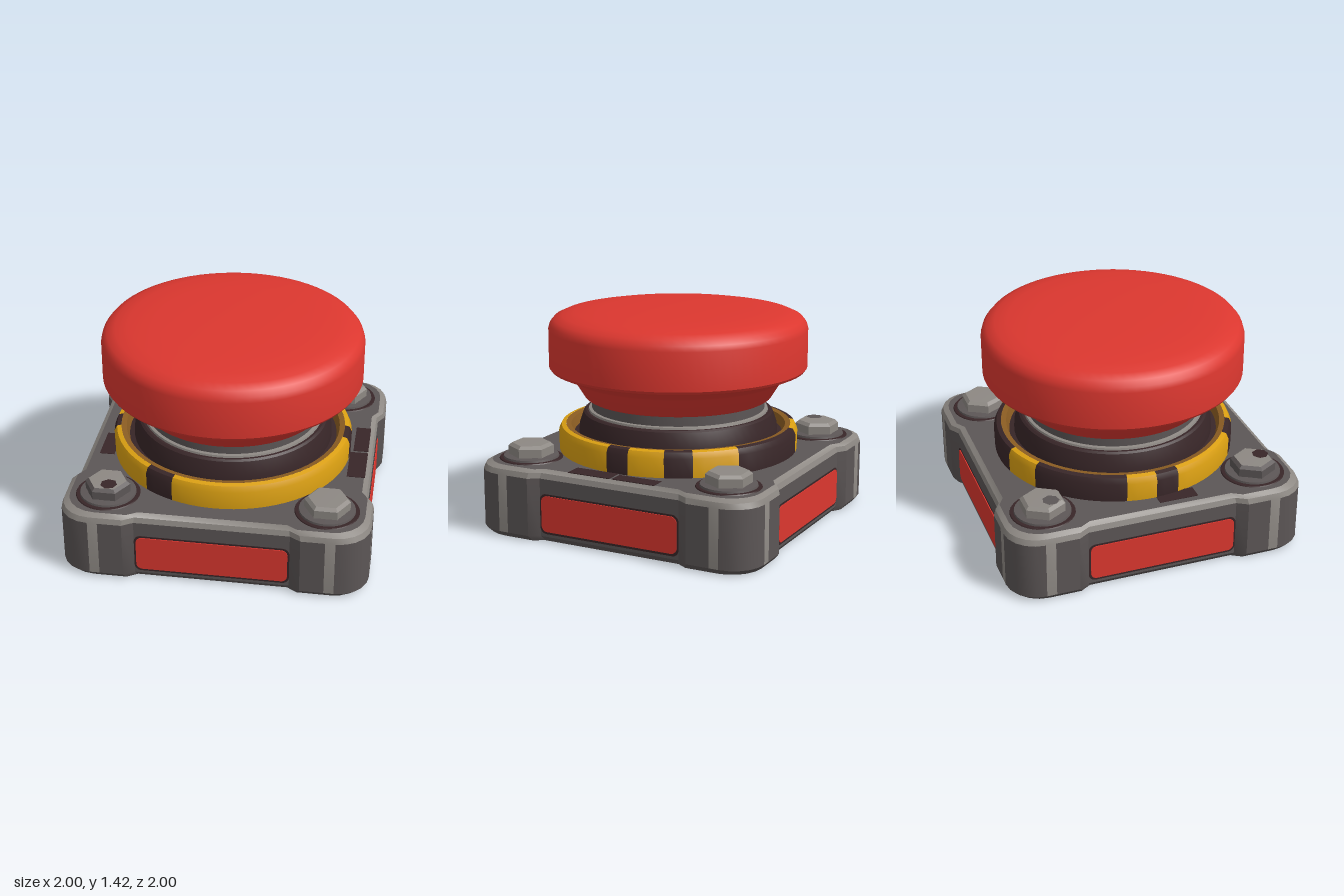
import * as THREE from 'three';
import { toCreasedNormals } from 'three/addons/utils/BufferGeometryUtils.js';

const mat = (name, color) => {
  const m = new THREE.MeshStandardMaterial({ color });
  m.name = name;
  return m;
};
const DEG = Math.PI / 180;

export function createModel() {
  const red = mat('red', 0xdc372f);
  const grey = mat('bodyGrey', 0x5c5656);
  const light = mat('wornGrey', 0x8d8883);
  const dark = mat('darkBrown', 0x382628);
  const yellow = mat('yellow', 0xdba012);
  const brown = mat('rustBrown', 0x8a5c22);

  const model = new THREE.Group();
  model.name = 'pushButton';

  const add = (name, geo, material, parent = model) => {
    const mesh = new THREE.Mesh(geo, material);
    mesh.name = name;
    parent.add(mesh);
    return mesh;
  };
  // Turned part from [radius, height] pairs, listed from bottom to top on the outside
  const turned = (pts, seg = 64, start = 0, length = Math.PI * 2) => toCreasedNormals(
    new THREE.LatheGeometry(pts.map(p => new THREE.Vector2(...p)), seg, start, length), 0.5);

  // ---- Base: square outline with bulging rounded corners, lofted upwards ----
  const corner = [[0.957, 0.5], [1, 0.57], [1, 0.725]];
  for (let i = 0; i <= 5; i++) {
    const a = i * 18 * DEG;
    corner.push([0.79 + 0.21 * Math.cos(a), 0.79 + 0.21 * Math.sin(a)]);
  }
  corner.push([0.725, 1], [0.57, 1], [0.5, 0.957]);
  const wornSegments = [2, 8]; // worn vertical edges on each corner
  const outline = [];
  for (let k = 0; k < 4; k++) {
    for (const [x, z] of corner) {
      const c = Math.round(Math.cos(k * Math.PI / 2)), s = Math.round(Math.sin(k * Math.PI / 2));
      outline.push([x * c - z * s, x * s + z * c]);
    }
  }
  const levels = [[0, 0.972], [0.035, 1], [0.42, 1], [0.455, 0.988], [0.475, 0.955], [0.475, 0.94]];
  const faces = { shell: [], wear: [], underside: [] };
  const at = (i, [y, s]) => {
    const p = outline[i % outline.length];
    return [p[0] * s, y, p[1] * s];
  };
  const n = outline.length;
  for (let i = 0; i < n; i++) {
    for (let l = 0; l < levels.length - 1; l++) {
      const a = at(i, levels[l]), b = at(i + 1, levels[l]);
      const c = at(i + 1, levels[l + 1]), d = at(i, levels[l + 1]);
      const worn = l === 2 || l === 3 || (l === 1 && wornSegments.includes(i % corner.length));
      faces[worn ? 'wear' : 'shell'].push(...a, ...d, ...c, ...a, ...c, ...b);
    }
    const top = levels[levels.length - 1];
    faces.shell.push(0, top[0], 0, ...at(i + 1, top), ...at(i, top));
    faces.underside.push(0, 0, 0, ...at(i, levels[0]), ...at(i + 1, levels[0]));
  }
  const base = new THREE.Group();
  base.name = 'base';
  model.add(base);
  const baseColours = { shell: grey, wear: light, underside: dark };
  for (const key in faces) {
    const g = new THREE.BufferGeometry();
    g.setAttribute('position', new THREE.Float32BufferAttribute(faces[key], 3));
    add('base ' + key, toCreasedNormals(g, 0.45), baseColours[key], base);
  }

  // ---- Side panels: a red rounded plate on a dark surround, four times ----
  const plate = (w, h, r, depth) => {
    const s = new THREE.Shape();
    const x = w / 2 - r, y = h / 2 - r;
    s.absarc(x, y, r, 0, 90 * DEG);
    s.absarc(-x, y, r, 90 * DEG, 180 * DEG);
    s.absarc(-x, -y, r, 180 * DEG, 270 * DEG);
    s.absarc(x, -y, r, 270 * DEG, 360 * DEG);
    return new THREE.ExtrudeGeometry(s, { depth, bevelEnabled: false, curveSegments: 5 });
  };
  const surroundGeo = plate(1.0, 0.268, 0.045, 0.004);
  const panelGeo = plate(0.975, 0.24, 0.04, 0.009);
  for (let k = 0; k < 4; k++) {
    const side = new THREE.Group();
    side.name = 'sidePanel';
    side.rotation.y = k * Math.PI / 2;
    add('panelSurround', surroundGeo, dark, side).position.set(0, 0.188, 0.955);
    add('panel', panelGeo, red, side).position.set(0, 0.19, 0.956);
    model.add(side);
  }

  // ---- Corner bolts: recess ring, washer and hexagonal head ----
  const recessGeo = turned([[0.212, 0.47], [0.205, 0.481], [0.165, 0.483]], 32);
  const washerGeo = turned([[0.185, 0.475], [0.18, 0.495], [0.13, 0.5]], 32);
  const headGeo = turned([[0.148, 0.48], [0.148, 0.555], [0.125, 0.575]], 6, 30 * DEG);
  const headTopGeo = turned([[0.125, 0.575], [0, 0.578]], 6, 30 * DEG);
  for (const x of [-0.71, 0.71]) {
    for (const z of [-0.72, 0.72]) {
      const bolt = new THREE.Group();
      bolt.name = 'bolt';
      bolt.position.set(x, 0, z);
      add('boltRecess', recessGeo, dark, bolt);
      add('washer', washerGeo, grey, bolt);
      add('boltHead', headGeo, x < 0 && z > 0 ? grey : light, bolt);
      add('boltTop', headTopGeo, light, bolt);
      // Paint loss on the two left-hand heads
      if (x < 0) {
        const chip = add('boltChip', new THREE.CircleGeometry(0.055, 7), z > 0 ? dark : grey, bolt);
        chip.rotation.x = -Math.PI / 2;
        chip.position.set(z > 0 ? 0.02 : -0.05, 0.581, z > 0 ? 0.06 : 0.04);
      }
      model.add(bolt);
    }
  }

  // ---- Dark stains on the deck: [x, z, width, length] ----
  for (const [x, z, w, l] of [[0.87, -0.16, 0.1, 0.3], [0.86, 0.16, 0.12, 0.3], [-0.82, 0.14, 0.1, 0.26]]) {
    add('deckStain', new THREE.BoxGeometry(w, 0.004, l), dark).position.set(x, 0.476, z);
  }

  // ---- Striped warning ring: dark spans in degrees from +x towards +z ----
  const ringProfile = [[0.8, 0.465], [0.803, 0.6], [0.785, 0.638], [0.755, 0.645]];
  const spans = [[-34, -21], [-4, 7], [111, 126], [168, 179], [193, 238], [257, 304]];
  const arc = (name, from, to, material) => add(name,
    turned(ringProfile, Math.max(3, Math.round((to - from) / 5)), (90 - to) * DEG, (to - from) * DEG), material);
  spans.forEach(([from, to], i) => {
    const next = i < spans.length - 1 ? spans[i + 1][0] : spans[0][0] + 360;
    arc('ringDarkStripe', from, to, dark);
    arc('ringYellowStripe', to, next, yellow);
  });
  add('ringInnerLip', turned([[0.755, 0.645], [0.72, 0.64], [0.7, 0.58]]), brown);

  // ---- Collar and neck ----
  add('collar', turned([[0.705, 0.58], [0.667, 0.585], [0.664, 0.64], [0.635, 0.725], [0.62, 0.735], [0.57, 0.735]]), dark);
  add('neckLip', turned([[0.605, 0.73], [0.6, 0.748], [0.575, 0.752]]), light);
  add('neck', turned([[0.58, 0.73], [0.58, 0.83]]), grey);

  // ---- Mushroom cap ----
  add('cap', turned([
    [0, 0.82], [0.605, 0.82], [0.625, 0.832], [0.695, 0.945], [0.715, 0.962], [0.85, 1.022], [0.862, 1.04],
    [0.862, 1.29], [0.852, 1.325], [0.825, 1.358], [0.77, 1.383], [0.68, 1.4], [0.5, 1.412], [0.25, 1.419], [0, 1.421],
  ], 72), red);

  return model;
}
